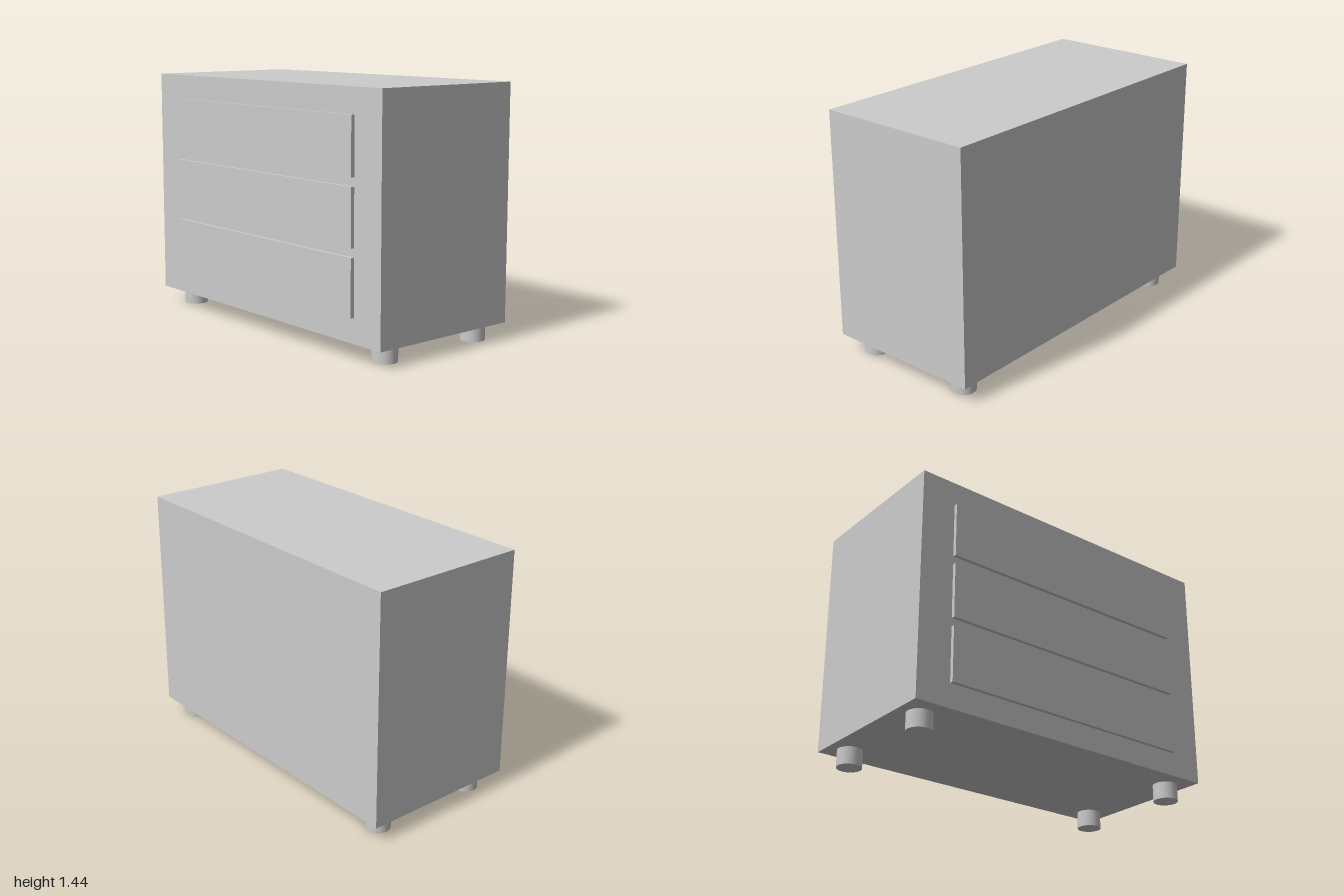
import * as THREE from 'three';

const material = new THREE.MeshStandardMaterial({ color: 0xcccccc });

function addPart(group, name, geometry, x, y, z) {
  const mesh = new THREE.Mesh(geometry, material);
  mesh.name = name;
  mesh.position.set(x, y, z);
  group.add(mesh);
}

export function createModel() {
  const group = new THREE.Group();
  group.name = 'drawerChest';

  // Cabinet body
  const left = 0.485, right = -0.463, bottom = 0.1, top = 1.44;
  const centreX = (left + right) / 2;
  addPart(group, 'cabinet', new THREE.BoxGeometry(left - right, top - bottom, 2),
    centreX, (top + bottom) / 2, 0);

  // Three thin drawer fronts on the -x side
  const drawer = new THREE.BoxGeometry(0.022, 0.32, 1.59);
  for (let i = 0; i < 3; i++) {
    addPart(group, 'drawerFront' + (i + 1), drawer, right - 0.011, 0.4 + i * 0.369, 0);
  }

  // Four short round feet
  const foot = new THREE.CylinderGeometry(0.071, 0.071, bottom, 32);
  for (const x of [-0.314, 0.357]) {
    for (const z of [-0.873, 0.873]) addPart(group, 'foot', foot, x, bottom / 2, z);
  }

  return group;
}
